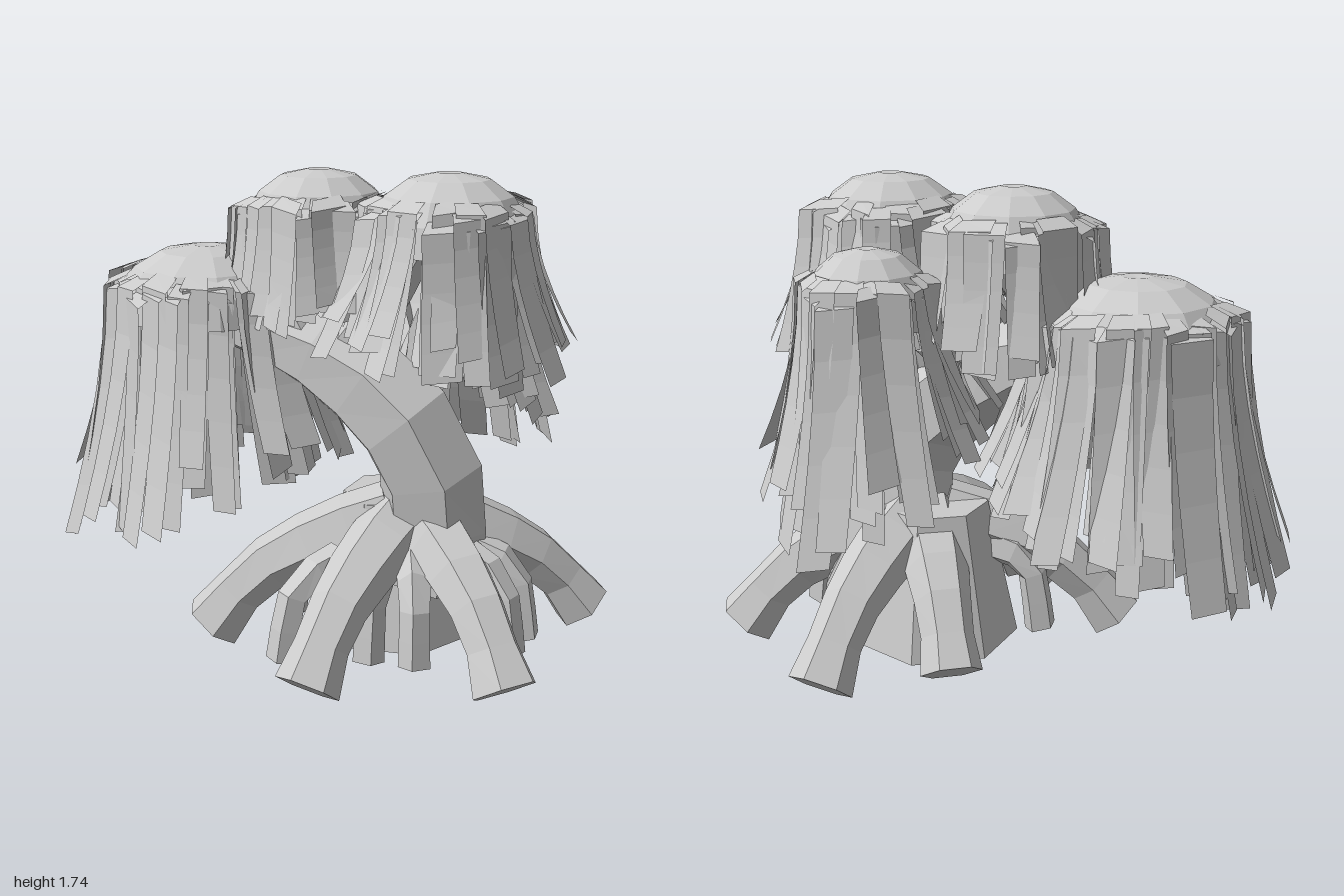
import * as THREE from 'three';

const grey = new THREE.MeshStandardMaterial({ color: 0xcccccc, flatShading: true, side: THREE.DoubleSide });
grey.name = 'ash grey';

let seed = 11;
const rand = (a = 0, b = 1) => {
  seed = (seed * 16807) % 2147483647;
  return a + (b - a) * (seed / 2147483647);
};
const v = (p) => new THREE.Vector3(...p);

function build(positions, indices) {
  const g = new THREE.BufferGeometry();
  g.setAttribute('position', new THREE.Float32BufferAttribute(positions, 3));
  g.setIndex(indices);
  g.computeVertexNormals();
  return g;
}

function add(parent, geometry, name) {
  const m = new THREE.Mesh(geometry, grey);
  m.name = name;
  parent.add(m);
  return m;
}

// Capped, faceted limb along a curve, with radii interpolated along it
function limb(points, radii, sides = 6, steps = 6) {
  const curve = new THREE.CatmullRomCurve3(points.map(v));
  const frames = curve.computeFrenetFrames(steps);
  const pos = [], idx = [];
  for (let i = 0; i <= steps; i++) {
    const t = i / steps, f = t * (radii.length - 1);
    const k = Math.min(Math.floor(f), radii.length - 2);
    const r = THREE.MathUtils.lerp(radii[k], radii[k + 1], f - k);
    const c = curve.getPointAt(t);
    for (let j = 0; j < sides; j++) {
      const a = (j / sides) * Math.PI * 2;
      const p = c.clone()
        .addScaledVector(frames.normals[i], Math.cos(a) * r)
        .addScaledVector(frames.binormals[i], Math.sin(a) * r);
      pos.push(p.x, p.y, p.z);
      if (i < steps) {
        const n = (j + 1) % sides, o = i * sides;
        idx.push(o + j, o + n, o + sides + j, o + n, o + sides + n, o + sides + j);
      }
    }
  }
  for (let j = 1; j < sides - 1; j++) {
    const e = steps * sides;
    idx.push(0, j + 1, j, e, e + j, e + j + 1);
  }
  return build(pos, idx);
}

// Flat hanging fronds gathered round a crown, curving outward as they fall;
// they are longest towards the angle "out"
function fronds({ r, length, flare, out, bias, count }) {
  const pos = [], idx = [], rows = 6;
  for (let i = 0; i < count; i++) {
    const a = ((i + rand(-0.5, 0.5)) / count) * Math.PI * 2 * 3;
    const layer = rand(0.86, 1.1), w = rand(0.04, 0.08);
    const twist = rand(-0.5, 0.5);
    const fall = length * (1 - bias + bias * Math.cos(a - out)) * rand(0.75, 1);
    const top = rand(-0.16, -0.1), spread = flare * rand(0.5, 1.1);
    const tx = -Math.sin(a + twist), tz = Math.cos(a + twist);
    const base = pos.length / 3;
    for (let k = 0; k <= rows; k++) {
      const t = Math.max(0, (k - 1) / (rows - 1));
      const d = k === 0 ? r * layer * 0.78 : r * layer + spread * Math.pow(t, 1.5);
      const y = k === 0 ? top + 0.03 : top - fall * t;
      const half = w * (k === 0 ? 0.8 : 1 - 0.15 * t);
      for (const s of [-1, 1]) {
        pos.push(Math.cos(a) * d + tx * half * s, y + s * 0.015 * twist, Math.sin(a) * d + tz * half * s);
      }
      if (k < rows) {
        const o = base + k * 2;
        idx.push(o, o + 1, o + 2, o + 1, o + 3, o + 2);
      }
    }
  }
  return build(pos, idx);
}

// Domed crown with its curtain of fronds
function crown(parent, spec) {
  const g = new THREE.Group();
  g.name = spec.name;
  g.position.set(...spec.at);
  const r = spec.r;
  const profile = [[0.001, -0.005], [r * 0.15, 0], [r * 0.5, -0.02], [r * 0.78, -0.075], [r * 0.95, -0.15], [r * 1.02, -0.25]]
    .map((p) => new THREE.Vector2(...p));
  add(g, new THREE.LatheGeometry(profile, 11), 'crownDome');
  add(g, fronds(spec), 'hangingFronds');
  parent.add(g);
}

export function createModel() {
  const tree = new THREE.Group();
  tree.name = 'weepingTree';

  // Leaning trunk and the boughs that carry the crowns
  add(tree, limb(
    [[0.28, 0.3, 0.17], [0.32, 0.55, 0.2], [0.26, 0.79, 0.21], [0.09, 1.0, 0.1], [-0.16, 1.14, -0.05], [-0.41, 1.22, -0.24], [-0.43, 1.38, -0.28]],
    [0.22, 0.19, 0.195, 0.18, 0.135, 0.1, 0.07], 6, 8), 'trunk');
  const boughs = [
    [[-0.1, 1.1, 0], [-0.17, 1.3, -0.06], [-0.06, 1.65, -0.1]],
    [[0.02, 1.08, 0.05], [0.14, 1.3, 0.14], [0.32, 1.66, 0.25]],
    [[0.04, 1.05, 0.06], [0.25, 1.22, -0.03], [0.45, 1.46, -0.11]],
  ];
  for (const b of boughs) add(tree, limb(b, [0.1, 0.075, 0.05], 6, 4), 'bough');

  // Root mound
  const mound = add(tree, new THREE.CylinderGeometry(0.2, 0.31, 0.52, 7, 2), 'rootMound');
  mound.position.set(0.22, 0.31, 0.06);

  // Arching roots, given by the point where each meets the ground and its width there
  const feet = [
    [0.92, 0.1, 0.18, 0.115], [0.41, 0.09, 0.75, 0.12], [-0.23, 0.09, 0.59, 0.115],
    [-0.47, 0.08, 0.0, 0.115], [0.69, 0.09, -0.38, 0.115], [0.24, 0.11, -0.41, 0.11],
  ];
  for (const [x, y, z, r] of feet) {
    const at = (t, h) => [0.25 + (x - 0.25) * t, h, 0.14 + (z - 0.14) * t];
    add(tree, limb([at(0.1, 0.5), at(0.4, 0.43), at(0.76, 0.29), at(1, y)],
      [0.13, 0.125, 0.11, 0.09, r], 6, 5), 'archingRoot');
  }

  // Thin prop roots dropping from the arches
  const props = [
    [0.17, 0.5], [0.52, 0.48], [-0.27, 0.35], [0.62, 0.36], [0.62, -0.13],
    [-0.16, -0.06], [0.02, 0.42], [0.6, 0.04],
  ];
  for (const [x, z] of props) {
    const at = (t, h) => [0.25 + (x - 0.25) * t, h, 0.14 + (z - 0.14) * t];
    add(tree, limb([at(0.55, 0.4), at(0.88, 0.34), at(1, 0.08)], [0.07, 0.055, 0.06], 5, 4), 'propRoot');
  }

  // Four crowns
  const crowns = [
    { name: 'lowCrown', at: [-0.42, 1.45, -0.29], r: 0.34, length: 0.97, flare: 0.19, out: -2.6, bias: 0.16, count: 75 },
    { name: 'middleCrown', at: [-0.04, 1.735, -0.1], r: 0.27, length: 0.48, flare: 0.08, out: -2, bias: 0.1, count: 54 },
    { name: 'frontCrown', at: [0.33, 1.75, 0.25], r: 0.28, length: 0.55, flare: 0.16, out: 1, bias: 0.1, count: 57 },
    { name: 'sideCrown', at: [0.46, 1.545, -0.12], r: 0.23, length: 0.86, flare: 0.2, out: -0.7, bias: 0.28, count: 57 },
  ];
  for (const c of crowns) crown(tree, c);
  return tree;
}
